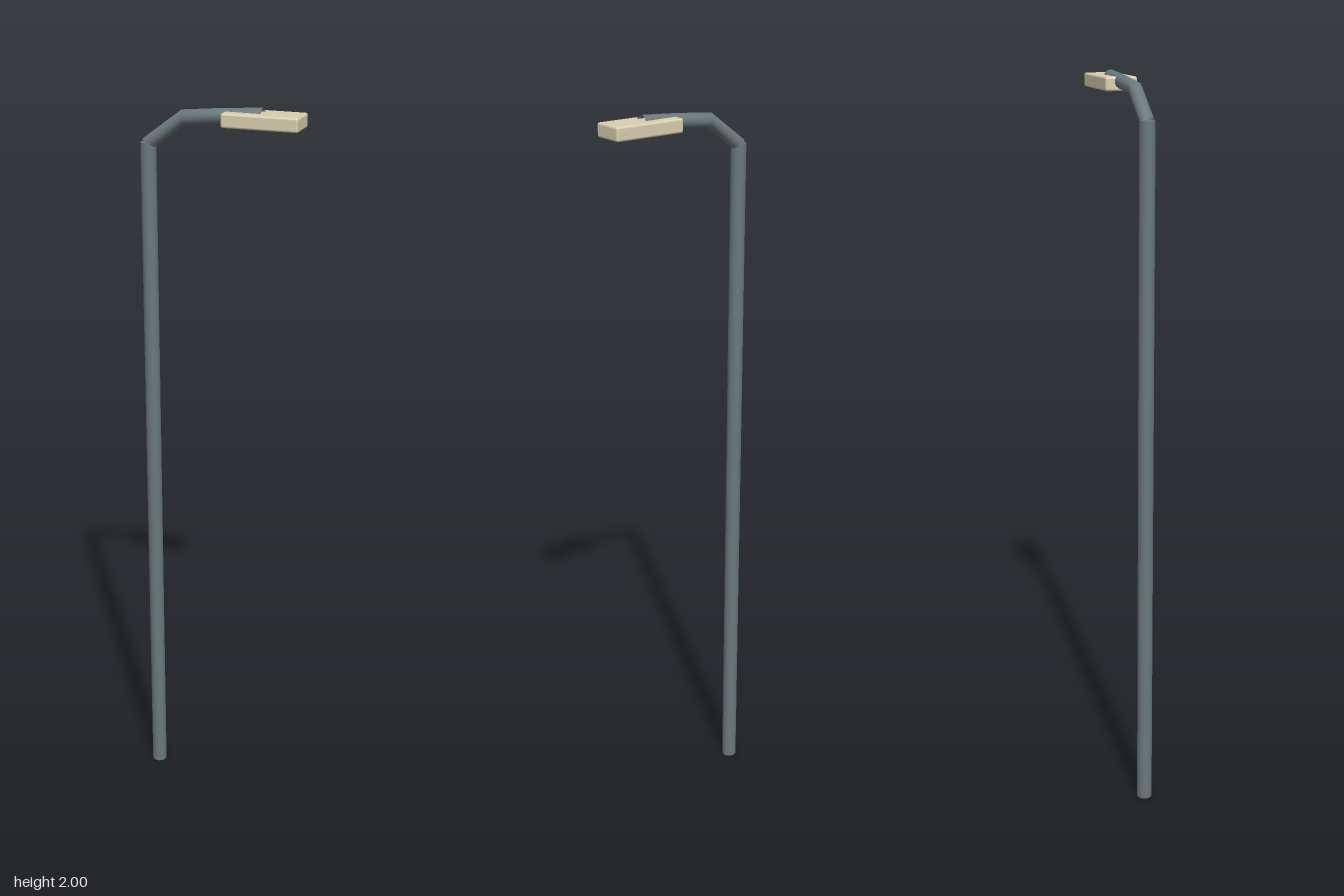
import * as THREE from 'three';
import { mergeVertices } from 'three/addons/utils/BufferGeometryUtils.js';
import { RoundedBoxGeometry } from 'three/addons/geometries/RoundedBoxGeometry.js';

const POLE_X = -0.198, POLE_R = 0.0207, POLE_H = 1.893, ARM_R = 0.0188;

// Bent tube: each ring is [x, y, heading in degrees above +x]
function bentTube(rings, radius, sides) {
  const geo = new THREE.CylinderGeometry(radius, radius, rings.length - 1, sides, rings.length - 1, true);
  const pos = geo.attributes.position;
  for (let i = 0; i < pos.count; i++) {
    const row = Math.round(pos.getY(i) + (rings.length - 1) / 2);
    const [x, y, deg] = rings[row];
    const a = THREE.MathUtils.degToRad(deg);
    const across = pos.getX(i);
    pos.setXY(i, x + across * Math.sin(a), y - across * Math.cos(a));
  }
  geo.deleteAttribute('uv');
  geo.deleteAttribute('normal');
  const merged = mergeVertices(geo);
  merged.computeVertexNormals();
  return merged;
}

export function createModel() {
  const group = new THREE.Group();
  const steel = new THREE.MeshStandardMaterial({ color: 0x6b787b });
  const steelOpen = new THREE.MeshStandardMaterial({ color: 0x6b787b, side: THREE.DoubleSide });
  const cream = new THREE.MeshStandardMaterial({ color: 0xd8ceb0 });

  const add = (name, geo, mat, x = 0, y = 0, z = 0) => {
    const mesh = new THREE.Mesh(geo, mat);
    mesh.name = name;
    mesh.position.set(x, y, z);
    group.add(mesh);
  };

  // Straight upright pole
  add('pole', new THREE.CylinderGeometry(POLE_R, POLE_R, POLE_H, 16), steel, POLE_X, POLE_H / 2);

  // Arm rising from the pole, then reaching out over the lamp
  add('arm', bentTube([
    [POLE_X, 1.89, 48],
    [-0.1, 1.964, 16],
    [0.008, 1.974, 5],
    [0.115, 1.981, 5],
  ], ARM_R, 16), steelOpen);

  // Flat lamp housing with softened edges
  add('lampHead', new RoundedBoxGeometry(0.204, 0.037, 0.0874, 3, 0.006), cream, 0.1167, 1.9685);

  return group;
}
